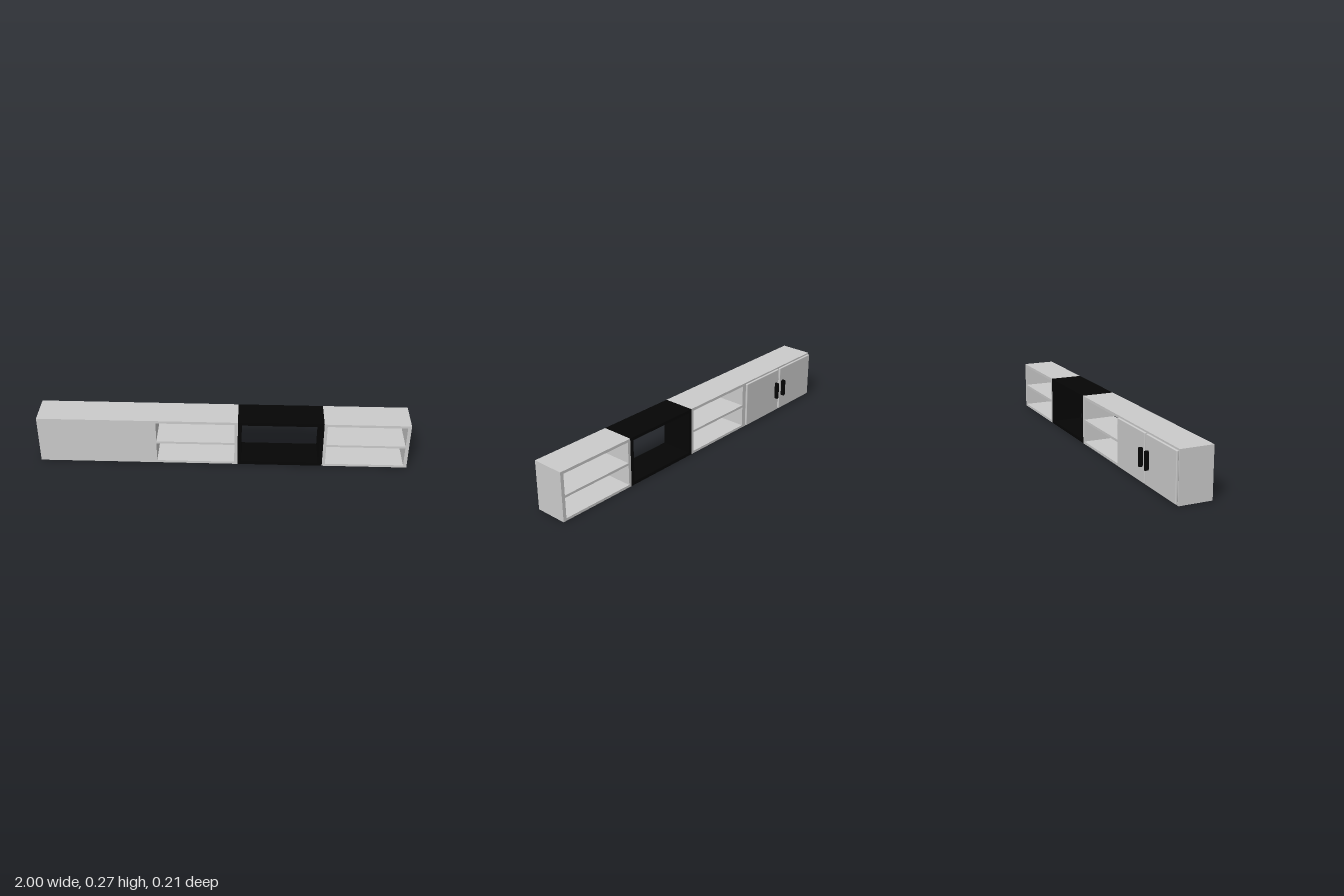
import * as THREE from 'three';
import { RoundedBoxGeometry } from 'three/addons/geometries/RoundedBoxGeometry.js';

const HEIGHT = 0.272, BACK = -0.075, DEPTH = 0.18;
const grey = new THREE.MeshStandardMaterial({ color: 0xcccccc });
const black = new THREE.MeshStandardMaterial({ color: 0x050505 });

function tracePath(path, x0, x1, y0, y1) {
  path.moveTo(x0, y0);
  path.lineTo(x1, y0);
  path.lineTo(x1, y1);
  path.lineTo(x0, y1);
  path.closePath();
  return path;
}

// Cabinet section with openings running right through its depth
function section(name, x0, x1, openings, material) {
  const shape = tracePath(new THREE.Shape(), x0, x1, 0, HEIGHT);
  for (const o of openings) shape.holes.push(tracePath(new THREE.Path(), ...o));
  const geometry = new THREE.ExtrudeGeometry(shape, { depth: DEPTH, bevelEnabled: false });
  geometry.translate(0, 0, BACK);
  const mesh = new THREE.Mesh(geometry, material);
  mesh.name = name;
  return mesh;
}

// Two stacked openings with a shelf between them
const shelfOpenings = (x0, x1) => [[x0, x1, 0.014, 0.127], [x0, x1, 0.14, 0.257]];

// Upright pull handle with rounded ends
function handleGeometry() {
  const r = 0.0095, h = 0.1, s = new THREE.Shape();
  s.absarc(0, h / 2 - r, r, 0, Math.PI);
  s.absarc(0, r - h / 2, r, Math.PI, Math.PI * 2);
  s.closePath();
  return new THREE.ExtrudeGeometry(s, { depth: 0.018, bevelEnabled: false, curveSegments: 10 });
}

export function createModel() {
  const group = new THREE.Group();
  group.name = 'wallCabinet';

  // Long body with closed cupboard and shelves, black open frame, end shelf unit
  group.add(section('cupboardAndShelves', -1, 0.08, shelfOpenings(-0.36, 0.062), grey));
  group.add(section('openFrame', 0.08, 0.54, [[0.099, 0.518, 0.018, 0.255]], black));
  group.add(section('endShelves', 0.54, 1, shelfOpenings(0.557, 0.981), grey));

  // Pair of doors with handles on the back, mirrored about the door gap
  const middle = -0.69, doorWidth = 0.299;
  for (const side of [-1, 1]) {
    const label = side < 0 ? 'right' : 'left';
    const door = new THREE.Mesh(new RoundedBoxGeometry(doorWidth, 0.258, 0.013, 3, 0.004), grey);
    door.name = label + 'Door';
    door.position.set(middle + side * (0.006 + doorWidth / 2), 0.136, -0.0815);
    group.add(door);

    const handle = new THREE.Mesh(handleGeometry(), black);
    handle.name = label + 'Handle';
    handle.position.set(middle + side * 0.0315, 0.138, -0.105);
    group.add(handle);
  }
  return group;
}
